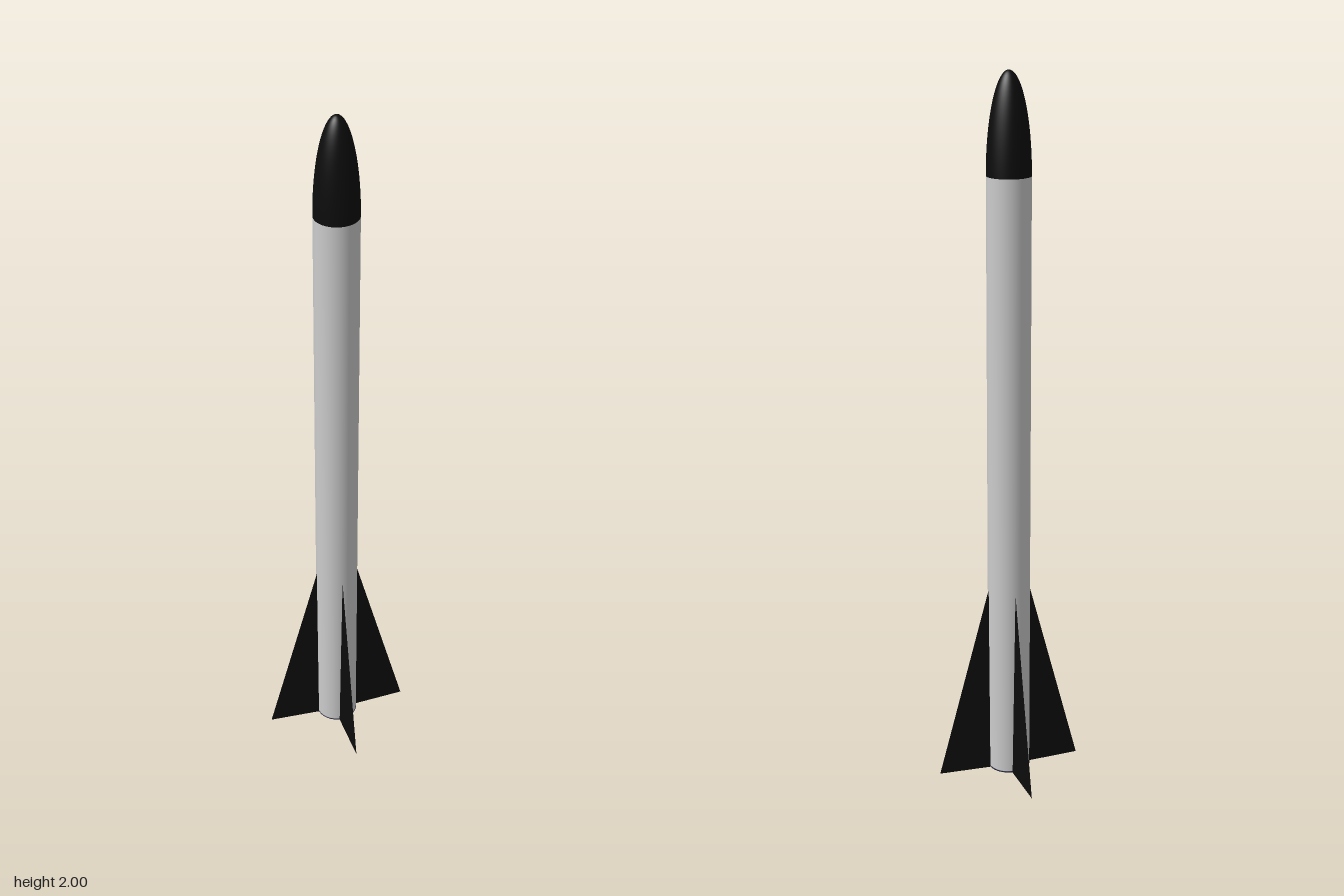
import * as THREE from 'three';

const R = 0.06;        // body radius
const SHOULDER = 1.73; // where the nose cone begins

export function createModel() {
  const group = new THREE.Group();
  const grey = new THREE.MeshStandardMaterial({ color: 0xcccccc });
  const black = new THREE.MeshStandardMaterial({ color: 0x0c0c0c });
  const finBlack = new THREE.MeshStandardMaterial({ color: 0x0c0c0c, flatShading: true });
  const navy = new THREE.MeshStandardMaterial({ color: 0x0c0c30 });

  const add = (name, geometry, material) => {
    const mesh = new THREE.Mesh(geometry, material);
    mesh.name = name;
    group.add(mesh);
    return mesh;
  };

  // Straight tube
  add('body', new THREE.CylinderGeometry(R, R, SHOULDER, 48), grey).position.y = SHOULDER / 2;

  // Nose: half ellipsoid
  const nose = add('noseCone', new THREE.SphereGeometry(R, 48, 20, 0, Math.PI * 2, 0, Math.PI / 2), black);
  nose.scale.y = (2 - SHOULDER) / R;
  nose.position.y = SHOULDER;

  // Two crossed, flattened four-sided pyramids make four knife-edged fins
  const finHeight = 0.79;
  for (let i = 0; i < 2; i++) {
    const geometry = new THREE.ConeGeometry(1, finHeight, 4);
    geometry.scale(0.21, 1, 0.011);
    const fins = add(i ? 'frontBackFins' : 'sideFins', geometry, finBlack);
    fins.position.y = finHeight / 2;
    fins.rotation.y = i * Math.PI / 2;
  }

  // Thin exhaust ring around the tail
  const ring = add('exhaustRing', new THREE.TorusGeometry(R - 0.002, 0.003, 8, 48), navy);
  ring.rotation.x = Math.PI / 2;
  ring.position.y = 0.003;

  return group;
}
